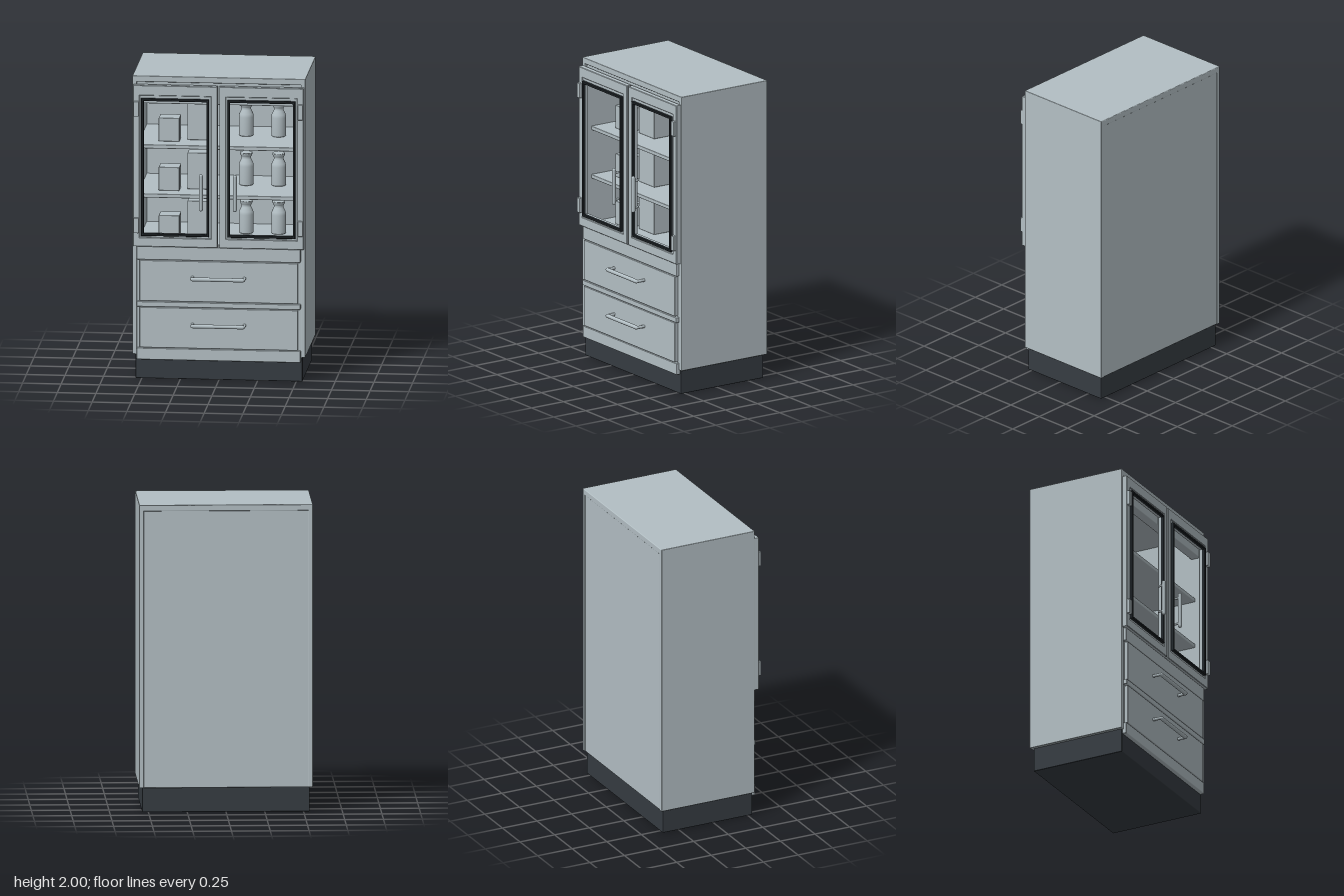
import * as THREE from 'three';
import { RoundedBoxGeometry } from 'three/addons/geometries/RoundedBoxGeometry.js';

export function createModel() {
  const model = new THREE.Group();
  model.name = 'displayCabinet';
  const steel = new THREE.MeshStandardMaterial({ color: 0xb3bfc4 });
  steel.name = 'steel';
  const plinthDark = new THREE.MeshStandardMaterial({ color: 0x363c42 });
  plinthDark.name = 'plinth dark grey';
  const rubber = new THREE.MeshStandardMaterial({ color: 0x22282c });
  rubber.name = 'gasket black';

  const add = (name, geometry, material = steel, parent = model) => {
    const mesh = new THREE.Mesh(geometry, material);
    mesh.name = name;
    parent.add(mesh);
    return mesh;
  };
  // Softly rounded block between two corners
  const block = (name, x0, x1, y0, y1, z0, z1, material = steel, parent = model, r = 0.005) => {
    const size = [x1 - x0, y1 - y0, z1 - z0];
    const radius = Math.min(r, Math.min(...size) * 0.45);
    const mesh = add(name, new RoundedBoxGeometry(...size, 2, radius), material, parent);
    mesh.position.set((x0 + x1) / 2, (y0 + y1) / 2, (z0 + z1) / 2);
    return mesh;
  };
  // Rectangular ring with a rectangular opening, extruded along z
  const ring = (name, outer, inner, z0, z1, material, parent) => {
    const trace = (path, [x0, x1, y0, y1]) =>
      path.moveTo(x0, y0).lineTo(x1, y0).lineTo(x1, y1).lineTo(x0, y1).closePath();
    const shape = trace(new THREE.Shape(), outer);
    shape.holes.push(trace(new THREE.Path(), inner));
    const bevel = 0.003;
    const geometry = new THREE.ExtrudeGeometry(shape, {
      depth: z1 - z0 - 2 * bevel, bevelThickness: bevel, bevelSize: bevel,
      bevelOffset: -bevel, bevelSegments: 1,
    });
    add(name, geometry, material, parent).position.z = z0 + bevel;
  };
  // Capsule bar, upright or lying along x or z
  const bar = (name, radius, length, position, axis, parent) => {
    const mesh = add(name, new THREE.CapsuleGeometry(radius, length - 2 * radius, 4, 16), steel, parent);
    mesh.position.set(...position);
    if (axis === 'x') mesh.rotation.z = Math.PI / 2;
    if (axis === 'z') mesh.rotation.x = Math.PI / 2;
  };

  // Plinth and carcass
  block('plinth', -0.54, 0.54, 0, 0.165, -0.365, 0.28, plinthDark);
  for (const s of [-1, 1]) {
    block('sidePanel', s * 0.545 - 0.015, s * 0.545 + 0.015, 0.16, 2, -0.385, 0.29);
  }
  block('topPanel', -0.555, 0.555, 1.96, 2, -0.385, 0.29);
  block('topHeader', -0.535, 0.535, 1.815, 1.965, 0.21, 0.275);
  block('backPanel', -0.535, 0.535, 0.16, 1.98, -0.381, -0.35);
  block('lowerBody', -0.535, 0.535, 0.16, 0.892, -0.36, 0.285);

  // Shelves and their contents
  for (const y of [1.21, 1.535]) block('shelf', -0.532, 0.532, y - 0.026, y, -0.355, 0.24);

  const jarProfile = [
    [0, 0], [0.042, 0], [0.048, 0.006], [0.048, 0.125], [0.045, 0.145], [0.032, 0.172],
    [0.03, 0.185], [0.034, 0.19], [0.042, 0.208], [0.04, 0.215], [0, 0.215],
  ].map(([x, y]) => new THREE.Vector2(x, y));
  const jarGeometry = new THREE.LatheGeometry(jarProfile, 24);
  for (const y of [0.892, 1.21, 1.535]) {
    block('smallBox', -0.405, -0.27, y, y + 0.155, 0.02, 0.14);
    block('largeBox', -0.225, -0.05, y, y + 0.24, -0.08, 0.08);
    for (const x of [0.14, 0.35]) add('jar', jarGeometry).position.set(x, y, -0.09);
  }

  // Framed doors, open in the middle
  for (const s of [-1, 1]) {
    const door = new THREE.Group();
    door.name = s > 0 ? 'leftDoor' : 'rightDoor';
    model.add(door);
    const span = (a, b) => (s > 0 ? [a, b] : [-b, -a]);
    ring('doorFrame', [...span(0.006, 0.552), 0.88, 1.945], [...span(0.048, 0.51), 0.94, 1.878], 0.287, 0.324, steel, door);
    ring('innerBead', [...span(0.046, 0.512), 0.938, 1.88], [...span(0.072, 0.486), 0.967, 1.848], 0.292, 0.318, steel, door);
    ring('gasket', [...span(0.06, 0.499), 0.953, 1.86], [...span(0.076, 0.483), 0.969, 1.844], 0.314, 0.337, rubber, door);
    bar('doorHandle', 0.013, 0.245, [s * 0.11, 1.25, 0.355], 'y', door);
    for (const y of [1.16, 1.34]) bar('handlePost', 0.008, 0.045, [s * 0.11, y, 0.335], 'z', door);
    for (const y of [1.02, 1.79]) block('hinge', ...span(0.514, 0.548), y - 0.05, y + 0.05, 0.31, 0.343, steel, door);
  }

  // Lower front: rails and drawers
  block('upperRail', -0.53, 0.53, 0.79, 0.878, 0.27, 0.308);
  block('middleRail', -0.53, 0.53, 0.48, 0.514, 0.27, 0.312);
  block('bottomRail', -0.53, 0.53, 0.13, 0.206, 0.27, 0.308);
  for (const [y0, y1, handleY] of [[0.21, 0.476, 0.37], [0.518, 0.786, 0.68]]) {
    const drawer = new THREE.Group();
    drawer.name = 'drawer';
    model.add(drawer);
    block('drawerFront', -0.512, 0.512, y0, y1, 0.27, 0.31, steel, drawer);
    bar('drawerHandle', 0.013, 0.35, [0, handleY, 0.367], 'x', drawer);
    for (const x of [-0.168, 0.168]) bar('handlePost', 0.01, 0.075, [x, handleY, 0.337], 'z', drawer);
  }
  return model;
}
